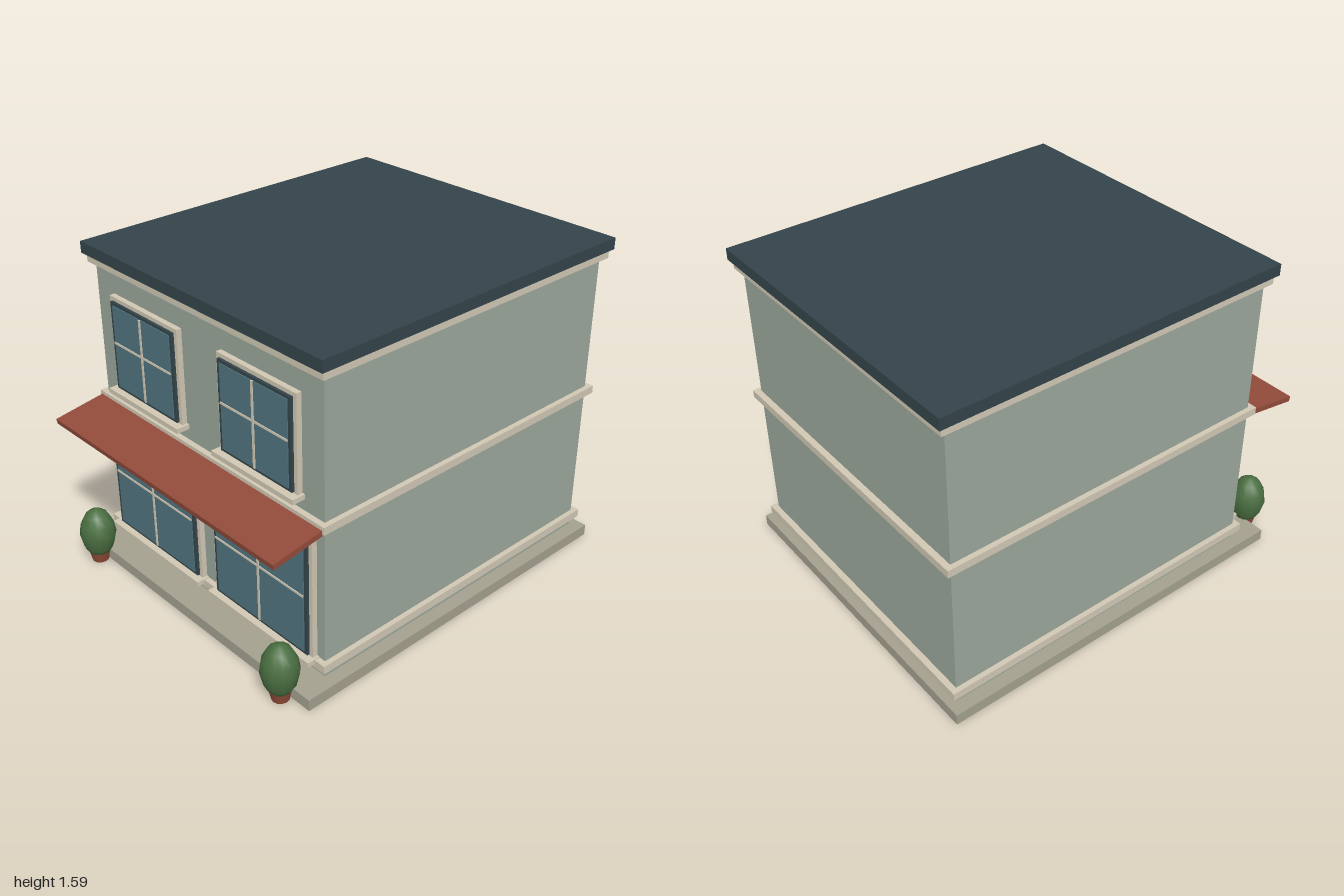
import * as THREE from 'three';

const mat = (color) => new THREE.MeshStandardMaterial({ color });

export function createModel() {
  const root = new THREE.Group();
  root.name = 'shopBuilding';

  const wall = mat(0x9ba79b), trim = mat(0xd0c7b4), slate = mat(0x33444a);
  const glass = mat(0x50747e), stone = mat(0xa3a08e), brick = mat(0x924b3a);
  const leaf = mat(0x4a6f41), clay = mat(0x8f4a38);

  // Box given by its extents on each axis
  function box(parent, name, material, [x0, x1], [y0, y1], [z0, z1]) {
    const mesh = new THREE.Mesh(new THREE.BoxGeometry(x1 - x0, y1 - y0, z1 - z0), material);
    mesh.name = name;
    mesh.position.set((x0 + x1) / 2, (y0 + y1) / 2, (z0 + z1) / 2);
    parent.add(mesh);
    return mesh;
  }

  // Plinth, walls, string courses and flat roof
  box(root, 'plinth', stone, [-0.815, 0.815], [0, 0.056], [-1, 0.868]);
  box(root, 'walls', wall, [-0.75, 0.75], [0.056, 1.5], [-0.953, 0.718]);
  const bands = { baseBand: [0.098, 0.138], middleBand: [0.803, 0.84], corniceBand: [1.488, 1.53] };
  for (const [name, y] of Object.entries(bands)) {
    box(root, name, trim, [-0.775, 0.775], y, [-0.983, 0.746]);
  }
  box(root, 'roof', slate, [-0.79, 0.79], [1.53, 1.585], [-1, 0.765]);

  // Window: surround, dark sash, pane, glazing bars and sill
  function addWindow(name, cx, halfW, y0, y1, barY) {
    const g = new THREE.Group();
    g.name = name;
    const span = (h) => [cx - h, cx + h];
    box(g, 'surround', trim, span(halfW + 0.02), [y0 - 0.01, y1 + 0.019], [0.7, 0.744]);
    box(g, 'sash', slate, span(halfW), [y0, y1], [0.72, 0.757]);
    box(g, 'pane', glass, span(halfW - 0.017), [y0 + 0.014, y1 - 0.014], [0.74, 0.761]);
    box(g, 'verticalBar', trim, span(0.006), [y0 + 0.014, y1 - 0.014], [0.75, 0.765]);
    box(g, 'horizontalBar', trim, span(halfW - 0.017), [barY - 0.005, barY + 0.005], [0.75, 0.765]);
    box(g, 'sill', trim, span(halfW + 0.034), [y0 - 0.03, y0 - 0.007], [0.7, 0.784]);
    root.add(g);
  }
  for (const [side, s] of [['left', 1], ['right', -1]]) {
    addWindow(side + 'UpperWindow', s * 0.377, 0.224, 0.925, 1.355, 1.16);
    addWindow(side + 'ShopWindow', s * 0.377, 0.305, 0.149, 0.71, 0.452);
  }

  // Sign board with a row of pale dashes
  box(root, 'signBoard', slate, [-0.415, 0.415], [0.635, 0.782], [0.7, 0.754]);
  for (let i = 0; i < 6; i++) {
    const x = (i - 2.5) * 0.1093;
    box(root, 'signDash', trim, [x - 0.028, x + 0.028], [0.699, 0.716], [0.74, 0.763]);
  }

  // Sloping awning
  const awning = box(root, 'awning', brick, [-0.765, 0.765], [0.78, 0.806], [0.704, 1.0]);
  awning.rotation.x = 0.15;

  // Potted shrubs at the front corners
  const profile = [[0, 0.04], [0.045, 0.042], [0.072, 0.085], [0.088, 0.155], [0.079, 0.21],
    [0.052, 0.26], [0.025, 0.281], [0, 0.287]].map(([r, y]) => new THREE.Vector2(r, y));
  const shrubGeo = new THREE.LatheGeometry(profile, 12);
  const potGeo = new THREE.CylinderGeometry(0.052, 0.04, 0.056, 12);
  for (const s of [1, -1]) {
    const g = new THREE.Group();
    g.name = s > 0 ? 'leftPottedShrub' : 'rightPottedShrub';
    const pot = new THREE.Mesh(potGeo, clay);
    pot.name = 'pot';
    pot.position.y = 0.028;
    const shrub = new THREE.Mesh(shrubGeo, leaf);
    shrub.name = 'shrub';
    g.add(pot, shrub);
    g.position.set(s * 0.673, 0, 0.902);
    root.add(g);
  }

  return root;
}
